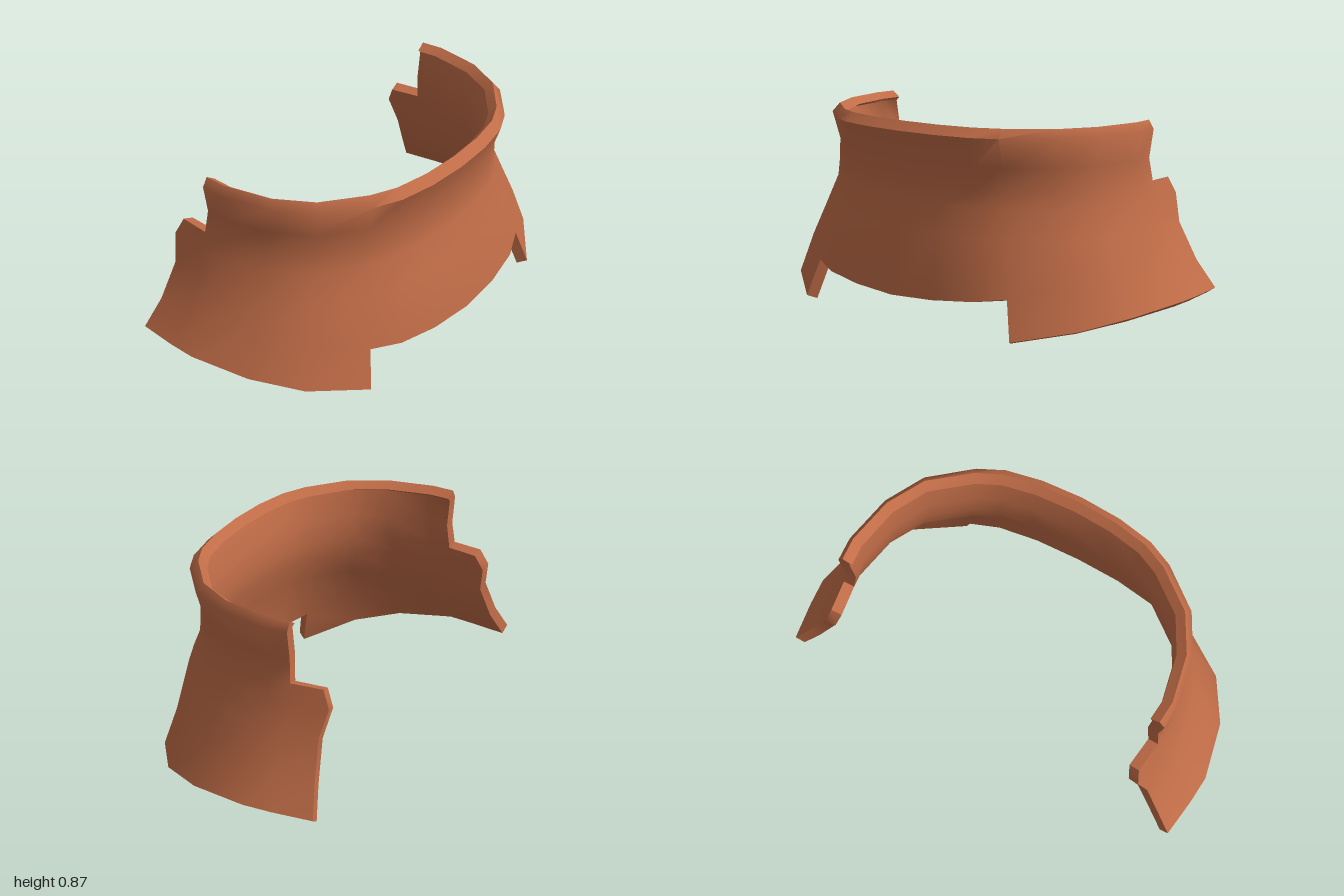
import * as THREE from 'three';
import { toCreasedNormals } from 'three/addons/utils/BufferGeometryUtils.js';

// Plan of half the horseshoe, front centre to back end: fractions of width and of depth
const ACROSS = [0, 0.24, 0.45, 0.6, 0.825, 0.945, 1, 0.99, 0.965];
const ALONG = [1, 0.988, 0.952, 0.89, 0.73, 0.535, 0.285, 0.165, 0];
const LAST = 8;
const NOTCH = 3;
const STEP_ROW = 4;
const THICKNESS = 0.05;

// Heights of the two hems, by column
const sideHem = c => 0.14 - 0.115 * (Math.max(0, 6 - c) / 3) ** 1.4;
const frontHem = c => (c <= NOTCH ? 0.14 + 0.05 * (c / NOTCH) ** 1.4 : 0.26);
const level = y => () => y;

// Rows of the outer face from hem to rim: height, half width, front z and back z
const ROWS = [
  { height: sideHem, width: 1, front: 0.56, back: -0.51 },
  { height: frontHem, width: 0.92, front: 0.51, back: -0.475 },
  { height: level(0.42), width: 0.84, front: 0.46, back: -0.45 }, // lower swell
  { height: level(0.54), width: 0.8, front: 0.415, back: -0.475 }, // shoulder
  { height: level(0.613), width: 0.78, front: 0.41, back: -0.44 }, // back step
  { height: level(0.715), width: 0.765, front: 0.415, back: -0.429 }, // neck
  { height: level(0.84), width: 0.785, front: 0.46, back: -0.438 }, // flared lip
  { height: level(0.878), width: 0.76, front: 0.42, back: -0.43 }, // rim
];

// The front hem is cut out up to the notch; the rear end is cut down above the step
function cellExists(c, r) {
  const half = c >= 0 ? c : -c - 1;
  if (r === 0) return half >= NOTCH;
  return r < STEP_ROW || half < LAST - 1;
}

function collarGeometry() {
  const points = [];
  for (const row of ROWS) {
    for (let c = -LAST; c <= LAST; c++) {
      const k = Math.abs(c);
      points.push(
        Math.sign(c) * row.width * ACROSS[k],
        row.height(k),
        THREE.MathUtils.lerp(row.back, row.front, ALONG[k]),
      );
    }
  }

  // Outer face cells as corner loops
  const id = (c, r) => r * (2 * LAST + 1) + c + LAST;
  const cells = [];
  for (let r = 0; r < ROWS.length - 1; r++) {
    for (let c = -LAST; c < LAST; c++) {
      if (cellExists(c, r)) cells.push([id(c, r), id(c + 1, r), id(c + 1, r + 1), id(c, r + 1)]);
    }
  }
  const outer = new THREE.BufferGeometry();
  outer.setAttribute('position', new THREE.Float32BufferAttribute(points, 3));
  outer.setIndex(cells.flatMap(([a, b, d, e]) => [a, b, d, a, d, e]));
  outer.computeVertexNormals();

  // Inner face: the outer points pushed in along their normals
  const normals = outer.attributes.normal.array;
  const count = points.length / 3;
  const all = points.concat(points.map((v, i) => v - normals[i] * THICKNESS));

  const index = [];
  const quad = (a, b, c, d) => index.push(a, b, c, a, c, d);
  const loop = cell => cell.map((p, i) => [p, cell[(i + 1) % 4]]);
  const edges = new Set(cells.flatMap(cell => loop(cell).map(edge => edge.join())));
  for (const cell of cells) {
    const [a, b, d, e] = cell;
    quad(a, b, d, e);
    quad(a + count, e + count, d + count, b + count);
    // Close the thickness along open borders
    for (const [p, q] of loop(cell)) {
      if (!edges.has([q, p].join())) quad(q, p, p + count, q + count);
    }
  }
  const geometry = new THREE.BufferGeometry();
  geometry.setAttribute('position', new THREE.Float32BufferAttribute(all, 3));
  geometry.setIndex(index);
  return toCreasedNormals(geometry, 1.1);
}

export function createModel() {
  const group = new THREE.Group();
  group.name = 'collar';
  const terracotta = new THREE.MeshStandardMaterial({ color: 0xc06c47 });
  terracotta.name = 'terracotta';
  const shell = new THREE.Mesh(collarGeometry(), terracotta);
  shell.name = 'collarShell';
  group.add(shell);
  return group;
}
